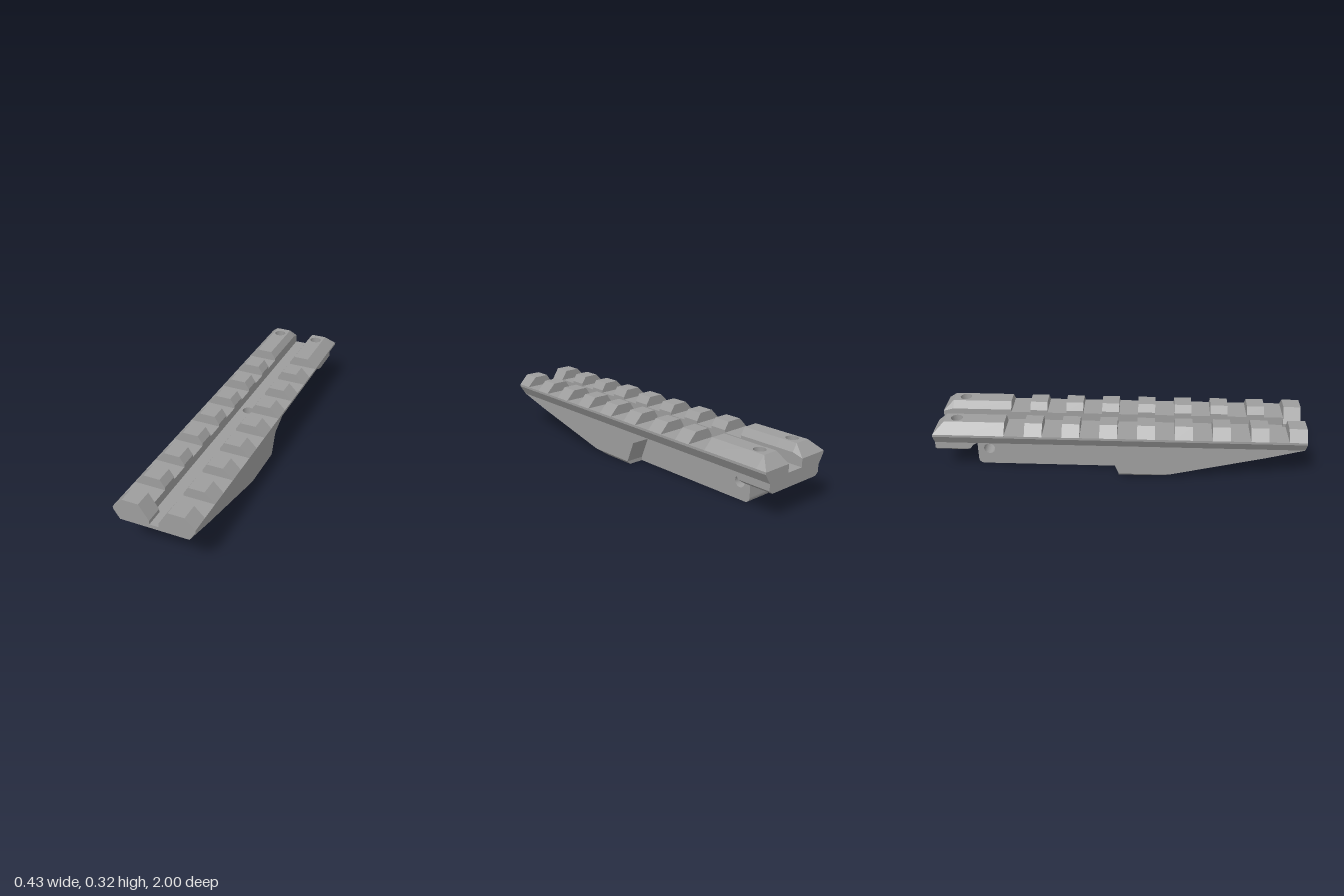
import * as THREE from 'three';

const material = new THREE.MeshStandardMaterial({ color: 0x9d9d9d, flatShading: true });

function polygon(points, hole) {
  const shape = new THREE.Shape(points.map(([a, b]) => new THREE.Vector2(a, b)));
  if (hole) {
    const path = new THREE.Path();
    path.absarc(hole[0], hole[1], hole[2], 0, Math.PI * 2, true);
    shape.holes.push(path);
  }
  return shape;
}

const extrude = (shape, depth) =>
  new THREE.ExtrudeGeometry(shape, { depth, bevelEnabled: false, curveSegments: 24 });

// Profile in (x, y), running from z0 to z1
const alongZ = (points, z0, z1) => extrude(polygon(points), z1 - z0).translate(0, 0, z0);

// Profile in (z, y), running from x0 to x1
const alongX = (shape, x0, x1) =>
  extrude(shape, x1 - x0).rotateY(-Math.PI / 2).translate(x1, 0, 0);

// Rectangle in (x, z) with a round vertical hole, running from y0 to y1
function drilledBlock(x0, x1, z0, z1, y0, y1, hx, hz, r) {
  const shape = polygon([[x0, -z1], [x1, -z1], [x1, -z0], [x0, -z0]], [hx, -hz, r]);
  return extrude(shape, y1 - y0).rotateX(-Math.PI / 2).translate(0, y0, 0);
}

// Move vertices by a rule, then refresh the flat normals
function reshape(geometry, rule) {
  const p = geometry.attributes.position;
  const v = new THREE.Vector3();
  for (let i = 0; i < p.count; i++) {
    v.fromBufferAttribute(p, i);
    rule(v);
    p.setXYZ(i, v.x, v.y, v.z);
  }
  geometry.computeVertexNormals();
  return geometry;
}

export function createModel() {
  const model = new THREE.Group();
  const add = (name, geometry) => {
    const mesh = new THREE.Mesh(geometry, material);
    mesh.name = name;
    model.add(mesh);
  };

  const base = 0.197, top = 0.317, slot = 0.263, foot = 0.143;
  const coreW = 0.076, flatW = 0.162, bodyW = 0.182;
  const backHole = [0.12, -0.88, 0.032];

  // Rail cross-sections for one side
  const outer = [[bodyW, base], [0.215, 0.25], [0.215, slot]];
  const slotProfile = [[0.05, base], ...outer, [0.05, slot]];
  const toothProfile = [[0.05, base], ...outer, [flatW, top], [coreW, top], [0.05, 0.277]];
  const frontProfile = [[0.024, base], ...outer, [flatW, top], [coreW, top], [0.024, 0.237]];
  const outerStrip = [[flatW, base], ...outer, [flatW, top]];
  const innerStrip = [[0.05, base], [coreW, base], [coreW, top], [0.05, 0.277]];

  // Body side profiles in (z, y)
  const taper = [[1, base], [0.8, 0.144], [0.19, 0]];
  const wing = polygon([...taper, [0, 0], [0, 0.02], [-0.05, 0.14], [-0.17, base]]);
  const footFront = [[-0.77, base], [-0.79, 0.185], [-0.81, 0.155], [-0.83, foot]];
  const footLead = polygon([...footFront, [-0.84, foot], [-0.84, base]]);
  const footTail = polygon([[-0.92, base], [-0.92, foot], [-1, foot], [-1, base]]);
  const footEdge = polygon([...footFront, [-1, foot], [-1, base]]);

  for (const s of [1, -1]) {
    const side = s > 0 ? 'left' : 'right';
    const rail = (name, profile, z0, z1) =>
      add(side + name, alongZ(profile.map(([x, y]) => [x * s, y]), z0, z1));
    const slab = (shape, a, b) => alongX(shape, s > 0 ? a : -b, s > 0 ? b : -a);

    // Front tooth, then alternating slots and teeth
    rail('FrontTooth', frontProfile, 0.905, 1);
    for (let i = 0; i < 8; i++) {
      const z = 1 - i * 0.2015;
      if (i > 0) rail('Tooth', toothProfile, z - 0.095, z);
      rail('Slot', slotProfile, i < 7 ? z - 0.2015 : -0.615, z - 0.095);
    }

    // Long rear tooth, drilled through, with a chamfered end
    rail('RearTooth', toothProfile, -0.84, -0.615);
    rail('RearToothOuter', outerStrip, -0.92, -0.84);
    rail('RearToothInner', innerStrip, -0.92, -0.84);
    const [a, b] = s > 0 ? [coreW, flatW] : [-flatW, -coreW];
    add(side + 'ScrewBlock',
      drilledBlock(a, b, -0.92, -0.84, foot, top, s * backHole[0], backHole[1], backHole[2]));
    rail('RearToothTail', toothProfile, -0.942, -0.92);
    add(side + 'RearChamfer', reshape(
      alongZ(toothProfile.map(([x, y]) => [x * s, y]), -1, -0.942),
      (v) => {
        if (v.z > -0.99 || v.y < 0.27) return;
        v.x = s * (Math.abs(v.x) > 0.1 ? 0.213 : 0.05);
        v.y = 0.261;
      }));

    // Side wing of the body, with a chamfered lower edge
    add(side + 'Wing', slab(wing, coreW, flatW));
    add(side + 'WingEdge', reshape(slab(wing, flatW, bodyW), (v) => {
      if (Math.abs(v.x) < 0.17 || v.y > 0.01) return;
      v.y = 0.02;
      if (v.z > 0.1) v.z = 0.275;
    }));

    // Rear foot
    add(side + 'FootLead', slab(footLead, coreW, flatW));
    add(side + 'FootTail', slab(footTail, coreW, flatW));
    add(side + 'FootEdge', reshape(slab(footEdge, flatW, bodyW), (v) => {
      if (Math.abs(v.x) > 0.17) v.y = Math.max(v.y, 0.16);
    }));
  }

  // Channel floor and the drilled core below it
  add('channelFloor', drilledBlock(-0.05, 0.05, -1, 1, base, 0.217, 0, -0.085, 0.031));
  add('frontCore', alongX(polygon([...taper, [-0.05, 0], [-0.05, base]]), -coreW, coreW));
  add('drilledCore', drilledBlock(-coreW, coreW, -0.12, -0.05, 0, base, 0, -0.085, 0.031));

  // Tongue with a rounded lower corner and a cross hole
  const r = 0.03, end = -0.795;
  const corner = [0, 1, 2, 3, 4, 5, 6].map((i) => {
    const t = (i / 6) * Math.PI / 2;
    return [end + r - r * Math.cos(t), r - r * Math.sin(t)];
  });
  add('clampTongue', alongX(
    polygon([[end, base], ...corner, [-0.12, 0], [-0.12, base]], [-0.729, 0.097, 0.031]),
    -coreW, coreW));
  add('rearFootCentre', alongX(
    polygon([...footFront, [-1, foot], [-1, base]]), -coreW, coreW));

  return model;
}
